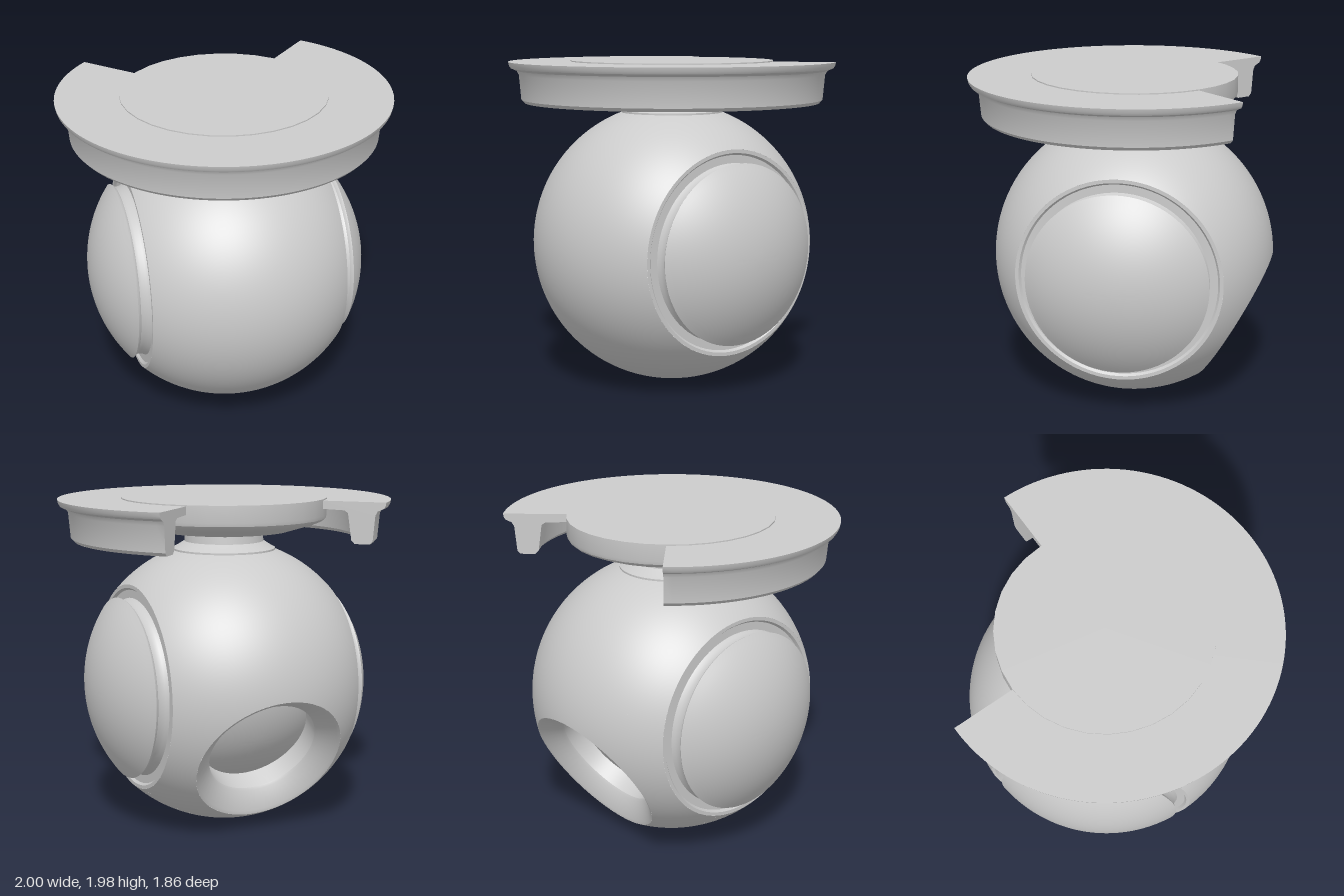
import * as THREE from 'three';
import { toCreasedNormals } from 'three/addons/utils/BufferGeometryUtils.js';
import { ParametricGeometry } from 'three/addons/geometries/ParametricGeometry.js';

const R = 0.86;                       // body radius
const LAT = Math.asin(0.6 / R);       // latitude where the flat sides start
const EYE = Math.acos(0.73 / R);      // angular radius of the eye opening
const material = new THREE.MeshStandardMaterial({ color: 0xcccccc, side: THREE.DoubleSide });

function mesh(name, geometry, parent) {
  const m = new THREE.Mesh(geometry, material);
  m.name = name;
  parent.add(m);
  return m;
}

const toVectors = (points) => points.map(([r, y]) => new THREE.Vector2(r, y));

function lathe(points, sides, start = 0, length = Math.PI * 2) {
  return toCreasedNormals(new THREE.LatheGeometry(toVectors(points), sides, start, length), 0.5);
}

// Profile points of a dome, from its rim (radius, height) to its apex
function dome(radius, centre, rimAngle, steps) {
  return Array.from({ length: steps + 1 }, (_, i) => {
    const a = rimAngle * (1 - i / steps);
    return [radius * Math.sin(a), centre + radius * Math.cos(a)];
  });
}

function onSphere(lat, phi, target) {
  target.set(Math.sin(lat), Math.cos(lat) * Math.sin(phi), Math.cos(lat) * Math.cos(phi)).multiplyScalar(R);
}

export function createModel() {
  const model = new THREE.Group();
  model.name = 'hangingEyeRobot';

  // Ball body, its local +z pointing out through the eye
  const ball = new THREE.Group();
  ball.name = 'ball';
  ball.position.set(0, 0.865, -0.07);
  ball.rotation.x = THREE.MathUtils.degToRad(150);
  model.add(ball);

  // Plain part of the shell between the flat sides
  mesh('bodyShell', new ParametricGeometry((u, v, p) => {
    onSphere(LAT * (2 * u - 1), LAT + v * (2 * Math.PI - 2 * LAT), p);
  }, 32, 96), ball);

  // Square patch of the shell with the round eye opening
  mesh('eyeShell', new ParametricGeometry((u, v, p) => {
    const a = -u * Math.PI * 2, c = Math.cos(a), s = Math.sin(a);
    const reach = LAT / Math.max(Math.abs(c), Math.abs(s));
    const lat = Math.asin(Math.sin(EYE) * c);
    const phi = Math.atan2(Math.sin(EYE) * s, Math.cos(EYE));
    onSphere(lat + (reach * c - lat) * v, phi + (reach * s - phi) * v, p);
  }, 128, 14), ball);

  // Bevelled eye socket and domed lens
  const rim = R * Math.sin(EYE);
  const socket = mesh('eyeSocket', lathe([[rim, 0.73], [0.435, 0.722], [0.345, 0.64], [0.335, 0.625], [0.335, 0.5]], 64), ball);
  socket.rotation.x = Math.PI / 2;
  const lens = mesh('eyeLens', lathe(dome(0.75, -0.17, Math.asin(0.335 / 0.75), 8), 64), ball);
  lens.rotation.x = Math.PI / 2;

  // Side discs: groove, short hub and domed cap
  const sideProfile = [
    [0.616, 0.6], [0.595, 0.6], [0.583, 0.585], [0.535, 0.585], [0.525, 0.605], [0.52, 0.63], [0.525, 0.65], [0.537, 0.66],
    ...dome(R, 0, Math.acos(0.668 / R), 14),
  ];
  for (const [name, side] of [['leftSideCap', 1], ['rightSideCap', -1]]) {
    const cap = mesh(name, lathe(sideProfile, 80), model);
    cap.position.copy(ball.position);
    cap.rotation.z = -side * Math.PI / 2;
  }

  // Neck and the round plate on top
  const top = new THREE.Group();
  top.name = 'ceilingMount';
  top.position.z = -0.07;
  model.add(top);
  mesh('neck', lathe([[0.31, 1.64], [0.31, 1.678], [0.295, 1.685], [0.24, 1.72], [0.235, 1.78]], 48), top);
  mesh('topPlate', lathe([
    [0.2, 1.76], [0.4, 1.785], [0.55, 1.83], [0.6, 1.85], [0.615, 1.865], [0.62, 1.885], [0.62, 1.985], [0, 1.985],
  ], 32), top);

  // Flanged ring, open over a quarter turn at the back
  const ringProfile = [
    [0.61, 1.93], [0.75, 1.925], [0.772, 1.91], [0.795, 1.75], [0.815, 1.73], [0.905, 1.73], [0.923, 1.75], [0.936, 1.9],
    [0.95, 1.925], [0.985, 1.94], [0.995, 1.955], [1, 1.978], [0.61, 1.978], [0.61, 1.93],
  ];
  const ringEnd = Math.PI * 0.75;
  mesh('ring', lathe(ringProfile, 96, -ringEnd, ringEnd * 2), top);
  const endShape = new THREE.Shape(toVectors(ringProfile));
  for (const [name, angle] of [['ringEndLeft', ringEnd], ['ringEndRight', -ringEnd]]) {
    mesh(name, new THREE.ShapeGeometry(endShape), top).rotation.y = angle - Math.PI / 2;
  }

  return model;
}
